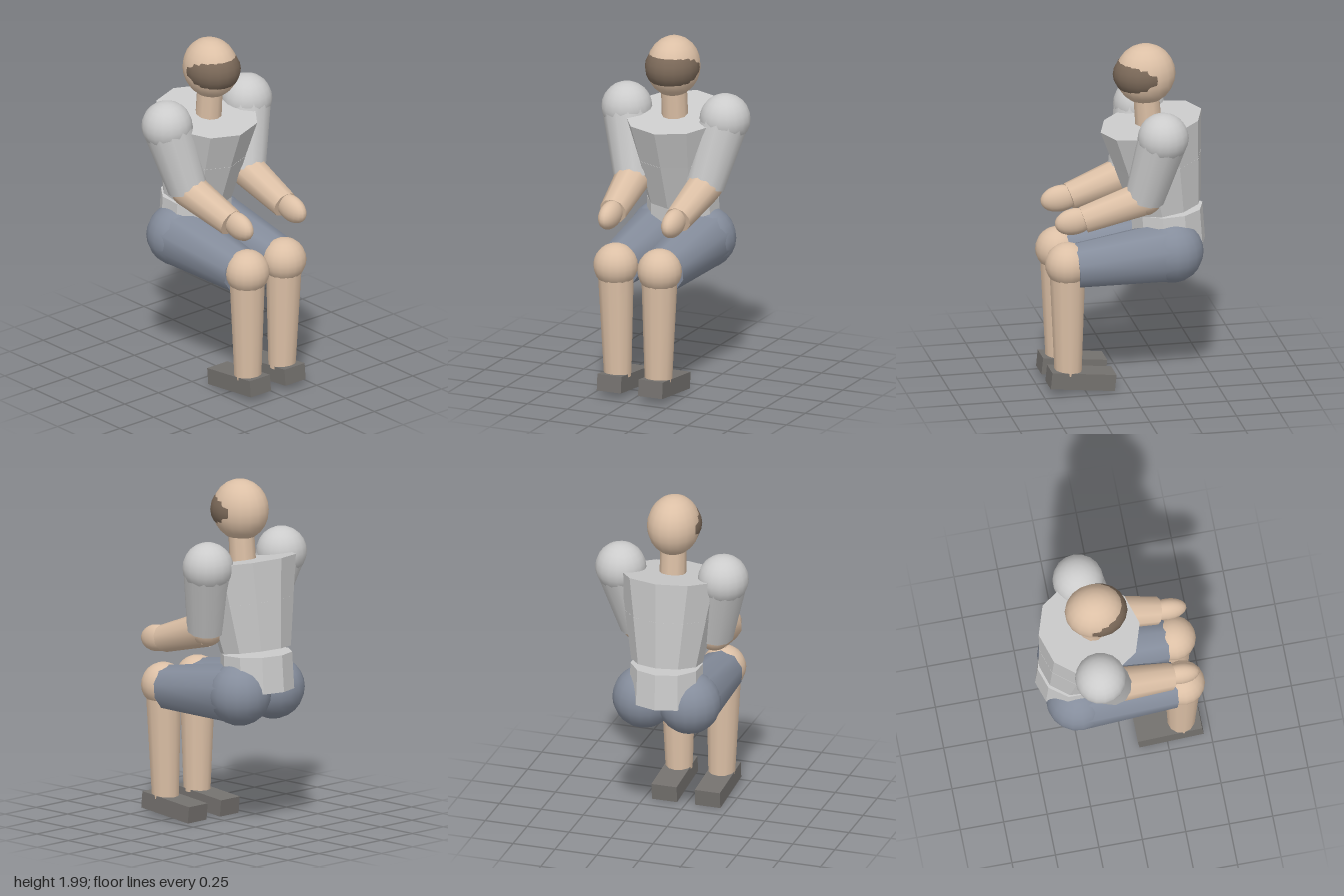
import * as THREE from 'three';

const paint = (color, flatShading = false) => new THREE.MeshStandardMaterial({ color, flatShading });
const grey = paint(0xcccccc);
const greyFlat = paint(0xcccccc, true);
const skin = paint(0xdcc0a6);
const cloth = paint(0x858d9c);
const shoeMat = paint(0x74716e, true);
const visorMat = paint(0x7a6858);

export function createModel() {
  const model = new THREE.Group();
  model.name = 'seatedFigure';

  const add = (name, geometry, material, position) => {
    const mesh = new THREE.Mesh(geometry, material);
    mesh.name = name;
    mesh.position.set(...position);
    model.add(mesh);
    return mesh;
  };

  // Ellipsoid with radii given per axis
  const ball = (name, material, position, rx, ry = rx, rz = rx) => {
    const mesh = add(name, new THREE.SphereGeometry(1, 18, 12), material, position);
    mesh.scale.set(rx, ry, rz);
    return mesh;
  };

  // Tapered cylinder between two points
  const limb = (name, material, from, to, rFrom, rTo, sides = 12) => {
    const a = new THREE.Vector3(...from);
    const b = new THREE.Vector3(...to);
    const axis = b.clone().sub(a);
    const geometry = new THREE.CylinderGeometry(rTo, rFrom, axis.length(), sides);
    const mesh = add(name, geometry, material, a.clone().add(b).multiplyScalar(0.5).toArray());
    mesh.quaternion.setFromUnitVectors(new THREE.Vector3(0, 1, 0), axis.normalize());
    return mesh;
  };

  // Torso, leaning forward, above an upright pelvis
  limb('chest', greyFlat, [0, 1.3, -0.205], [0, 1.54, -0.163], 0.25, 0.295, 10);
  limb('waist', greyFlat, [0, 1.035, -0.25], [0, 1.31, -0.203], 0.203, 0.253, 10);
  limb('pelvis', greyFlat, [0, 0.81, -0.265], [0, 1.02, -0.255], 0.21, 0.205, 10);

  // Neck, head and the dark band across the face
  limb('neck', skin, [0, 1.5, -0.15], [0, 1.7, -0.135], 0.076, 0.074, 10);
  ball('head', skin, [0, 1.825, -0.13], 0.15, 0.175, 0.172);
  ball('faceBand', visorMat, [0, 1.825, -0.113], 0.154, 0.137, 0.168);

  for (const s of [-1, 1]) {
    const side = s > 0 ? 'left' : 'right';

    // Arm: the right shoulder sits slightly ahead of the left
    const shoulder = [s * 0.303, 1.54, s > 0 ? -0.17 : -0.155];
    const elbow = [s * 0.222, 1.16, s > 0 ? -0.08 : -0.07];
    const wrist = [s > 0 ? 0.212 : -0.19, 1.05, 0.27];
    ball(side + 'Shoulder', grey, shoulder, 0.145);
    limb(side + 'UpperArm', grey, shoulder, elbow, 0.142, 0.113);
    ball(side + 'Elbow', skin, elbow, 0.1);
    limb(side + 'Forearm', skin, elbow, wrist, 0.102, 0.079, 10);
    const hand = ball(side + 'Hand', skin, [s > 0 ? 0.213 : -0.181, 1.045, 0.325], 0.058, 0.077, 0.113);
    hand.rotation.x = 0.15;

    // Leg
    const hip = [s * 0.135, 0.797, -0.255];
    const knee = [s * 0.137, 0.762, 0.348];
    const ankle = [s * 0.127, 0.11, 0.342];
    ball(side + 'Hip', cloth, hip, 0.18);
    limb(side + 'Thigh', cloth, hip, [s * 0.137, 0.75, 0.3], 0.178, 0.13, 10);
    ball(side + 'Knee', skin, knee, 0.127);
    limb(side + 'Shin', skin, knee, ankle, 0.104, 0.078);

    // Shoe, toes slightly raised
    const shoe = add(side + 'Shoe', new THREE.BoxGeometry(0.15, 0.096, 0.372), shoeMat, [s * 0.129, 0.0715, 0.268]);
    shoe.rotation.x = -0.1;
  }

  return model;
}
